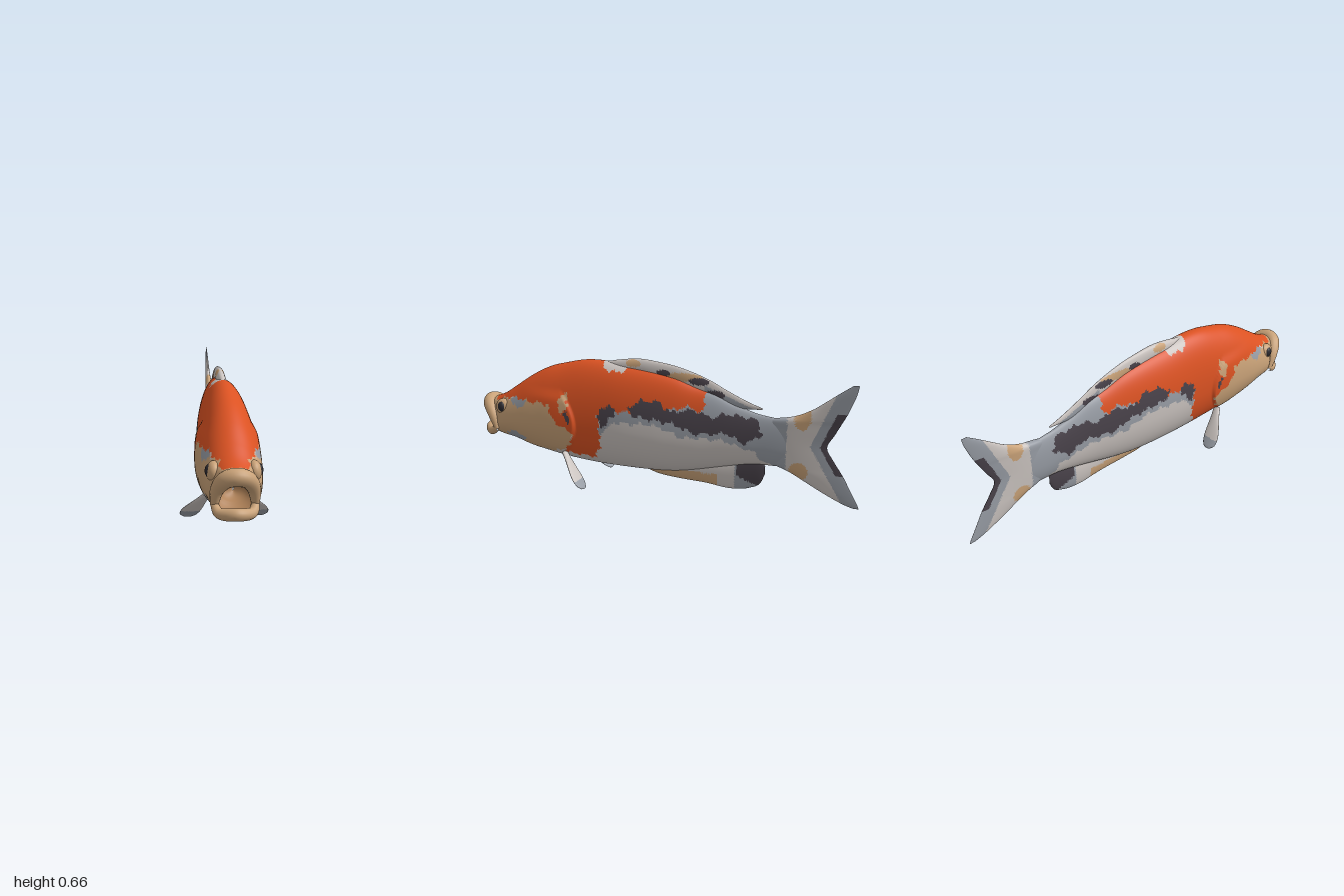
import * as THREE from 'three';

const palette = { white: 0xc9c2be, orange: 0xdb5222, tan: 0xc9a278, grey: 0x979ca4, dark: 0x49424a, mouth: 0xb08258, pupil: 0x2c2a30 };
const names = Object.keys(palette);
const [WHITE, ORANGE, TAN, GREY, DARK, MOUTH, PUPIL] = names.keys();

// ---- colour pattern helpers, in side coordinates (z, y) ----
const oval = (z, y, cz, cy, rz, ry) => ((z - cz) / rz) ** 2 + ((y - cy) / ry) ** 2 < 1;
function inside(poly, z, y) {
  let hit = false;
  for (let i = 0, j = poly.length - 1; i < poly.length; j = i++) {
    const [az, ay] = poly[i], [bz, by] = poly[j];
    if ((ay > y) !== (by > y) && z < ((bz - az) * (y - ay)) / (by - ay) + az) hit = !hit;
  }
  return hit;
}
const orangePatch = [[1, 0.375], [0.88, 0.39], [0.8, 0.42], [0.55, 0.42], [0.53, 0.35], [0.46, 0.31], [0.41, 0.27], [0.48, 0.16],
  [0.31, 0.155], [0.27, 0.24], [0.28, 0.38], [0.23, 0.42], [0.1, 0.42], [-0.02, 0.44], [-0.1, 0.45], [-0.16, 0.47], [-0.25, 0.45], [-0.25, 0.7], [1, 0.7]];
const cheekPatch = [[1, 0.4], [0.55, 0.43], [0.52, 0.36], [0.46, 0.33], [0.4, 0.31], [0.44, 0.2], [0.55, 0.155], [0.7, 0.165], [0.84, 0.18], [1, 0.1]];
const darkBand = [[0.12, 0.44], [0.07, 0.48], [-0.02, 0.485], [-0.1, 0.44], [-0.2, 0.46], [-0.3, 0.425], [-0.36, 0.45], [-0.5, 0.435],
  [-0.54, 0.37], [-0.45, 0.31], [-0.36, 0.355], [-0.2, 0.34], [-0.1, 0.385], [0.1, 0.405]];
const darkSpot = [[0.28, 0.43], [0.2, 0.44], [0.19, 0.39], [0.27, 0.325]];
const greyBand = [[0.28, 0.42], [0.05, 0.5], [-0.24, 0.5], [-0.24, 0.6], [-0.66, 0.5], [-0.66, 0.2], [-0.58, 0.2], [-0.5, 0.27],
  [-0.35, 0.32], [-0.15, 0.32], [0, 0.37], [0.2, 0.36], [0.27, 0.29]];

function paintBody(p) {
  const z = p.z + 0.007 * Math.sin(p.y * 95) + 0.004 * Math.sin(p.y * 210);
  const y = p.y + 0.007 * Math.sin(p.z * 80) + 0.004 * Math.sin(p.z * 190);
  if (z < -0.64) return paintTail(p);
  if (oval(z, y, 0.22, 0.65, 0.075, 0.05)) return WHITE;
  if (oval(z, y, 0.74, 0.405, 0.05, 0.022) || oval(z, y, 0.77, 0.215, 0.06, 0.03)) return GREY;
  if (oval(z, y, 0.47, 0.43, 0.025, 0.045)) return TAN;
  if (oval(z, y, 0.445, 0.36, 0.012, 0.03)) return DARK;
  if (inside(darkBand, z, y) || inside(darkSpot, z, y)) return DARK;
  if (inside(orangePatch, z, y)) return ORANGE;
  if (inside(cheekPatch, z, y)) return TAN;
  return inside(greyBand, z, y) ? GREY : WHITE;
}
function paintTail({ y, z }) {
  if (oval(z, y, -0.72, 0.47, 0.04, 0.065) || oval(z, y, -0.71, 0.2, 0.045, 0.045)) return TAN;
  const edge = -0.835 - (y > 0.33 ? 0.42 : 0.6) * Math.abs(y - 0.33);
  if (z < edge + 0.03 && y > 0.2 && y < 0.5) return DARK;
  if (z < edge + 0.075 || z > -0.65) return GREY;
  return WHITE;
}
function paintDorsal({ y, z }) {
  if (oval(z, y, -0.03, 0.61, 0.035, 0.016) || oval(z, y, -0.21, 0.585, 0.05, 0.018) || oval(z, y, -0.29, 0.53, 0.05, 0.02)) return DARK;
  if (oval(z, y, 0.13, 0.645, 0.04, 0.018) || oval(z, y, -0.13, 0.6, 0.1, 0.02)) return TAN;
  return z < -0.24 && y < 0.57 + (z + 0.24) * 0.38 ? GREY : WHITE;
}
function paintAnal({ y, z }) {
  if (z < -0.41 && y > 0.1 + (z + 0.5) * 0.4) return DARK;
  if (z < -0.4) return GREY;
  return z > -0.31 && y < 0.125 ? TAN : WHITE;
}

// Loft of oval sections; each row is [along, low, high, half thickness].
function loft(rows, { rings = 60, sides = 28, waist = 0.5, matrix, bend, paint }) {
  const spline = new THREE.CubicInterpolant(rows.map(r => r[0]), rows.flatMap(r => r.slice(1)), 3, new Float32Array(3));
  const start = rows[0][0], end = rows.at(-1)[0], points = [], faces = names.map(() => []);
  for (let i = 0; i <= rings; i++) {
    const along = start + ((end - start) * i) / rings;
    const [low, high, half] = spline.evaluate(along);
    const centre = low + waist * (high - low);
    for (let j = 0; j < sides; j++) {
      const a = (j / sides) * Math.PI * 2, c = Math.cos(a);
      const p = new THREE.Vector3(Math.max(half, 0.001) * Math.sin(a), centre + c * (c > 0 ? high - centre : centre - low), along);
      if (matrix) p.applyMatrix4(matrix);
      if (bend) bend(p);
      points.push(p);
    }
  }
  const addFace = (a, b, c) => {
    const mid = points[a].clone().add(points[b]).add(points[c]).divideScalar(3);
    faces[paint(mid)].push(a, b, c);
  };
  for (let i = 0; i < rings; i++) for (let j = 0; j < sides; j++) {
    const a = i * sides + j, b = i * sides + ((j + 1) % sides);
    addFace(a, a + sides, b);
    addFace(b, a + sides, b + sides);
  }
  const geometry = new THREE.BufferGeometry().setFromPoints(points);
  geometry.setIndex(faces.flat());
  let offset = 0;
  faces.forEach((f, m) => { if (f.length) geometry.addGroup(offset, f.length, m); offset += f.length; });
  geometry.computeVertexNormals();
  return geometry;
}

// Tube that swells towards its middle
function lipGeometry(half, thin, swell) {
  const mirrored = half.slice(0, -1).reverse().map(([x, y, z]) => [-x, y, z]);
  const curve = new THREE.CatmullRomCurve3([...half, ...mirrored].map(p => new THREE.Vector3(...p)));
  const geometry = new THREE.TubeGeometry(curve, 48, 1, 16), pos = geometry.attributes.position, v = new THREE.Vector3();
  for (let k = 0; k < pos.count; k++) {
    const u = Math.floor(k / 17) / 48, c = curve.getPointAt(u);
    v.fromBufferAttribute(pos, k).sub(c).multiplyScalar(thin + swell * Math.sin(Math.PI * u)).add(c);
    pos.setXYZ(k, v.x, v.y, v.z);
  }
  return geometry;
}

export function createModel() {
  const fish = new THREE.Group();
  fish.name = 'fish';
  const materials = names.map(name => new THREE.MeshStandardMaterial({ color: palette[name], name }));
  materials[MOUTH].side = THREE.DoubleSide;
  const add = (name, geometry, material = materials) => {
    const mesh = new THREE.Mesh(geometry, material);
    mesh.name = name;
    fish.add(mesh);
    return mesh;
  };

  // Mouth corners sit further back than the lips
  const mouthBend = p => {
    if (p.z > 0.85) p.z -= (p.z - 0.85) * 0.6 * Math.max(0, 1 - ((p.y - 0.28) / 0.1) ** 2);
  };
  // Raised gill cover with a sharp rear edge
  const bodyBend = p => {
    const edge = 0.4 + 3 * (p.y - 0.32) ** 2, s = THREE.MathUtils.smoothstep;
    const lift = s(p.z, edge, edge + 0.014) * (1 - s(p.z, 0.5, 0.75)) * s(p.y, 0.14, 0.19) * (1 - s(p.y, 0.44, 0.5));
    p.x += Math.sign(p.x) * 0.012 * lift;
    mouthBend(p);
  };
  add('body', loft([
    [-0.8, 0.3, 0.36, 0.003], [-0.72, 0.25, 0.41, 0.014], [-0.62, 0.212, 0.44, 0.026], [-0.5, 0.205, 0.457, 0.036],
    [-0.4, 0.185, 0.487, 0.047], [-0.3, 0.16, 0.53, 0.06], [-0.2, 0.135, 0.557, 0.076], [-0.1, 0.115, 0.59, 0.091],
    [0, 0.105, 0.61, 0.104], [0.15, 0.1, 0.627, 0.117], [0.3, 0.1, 0.64, 0.122], [0.4, 0.105, 0.635, 0.126],
    [0.5, 0.115, 0.612, 0.131], [0.6, 0.13, 0.582, 0.133], [0.7, 0.15, 0.53, 0.133], [0.8, 0.18, 0.462, 0.122],
    [0.87, 0.19, 0.415, 0.108], [0.94, 0.2, 0.385, 0.087],
  ], { rings: 300, sides: 120, waist: 0.42, bend: bodyBend, paint: paintBody }));

  // Mouth
  add('mouthCavity', loft([[0.8, 0.27, 0.31, 0.003], [0.82, 0.25, 0.33, 0.04], [0.88, 0.225, 0.355, 0.07], [0.94, 0.2, 0.385, 0.086]],
    { rings: 20, sides: 40, waist: 0.42, bend: mouthBend, paint: () => MOUTH }));
  add('upperLip', lipGeometry([[-0.083, 0.235, 0.885], [-0.072, 0.31, 0.915], [-0.04, 0.357, 0.95], [0, 0.368, 0.962]], 0.016, 0.021), materials[TAN]);
  add('lowerLip', lipGeometry([[-0.083, 0.24, 0.885], [-0.066, 0.215, 0.93], [0, 0.22, 0.972]], 0.016, 0.01), materials[TAN]);

  // Fins along the middle
  add('dorsalFin', loft([
    [-0.525, 0.478, 0.485, 0.003], [-0.45, 0.473, 0.51, 0.008], [-0.35, 0.465, 0.553, 0.012], [-0.25, 0.5, 0.6, 0.014],
    [-0.1, 0.55, 0.645, 0.017], [0, 0.56, 0.66, 0.02], [0.1, 0.58, 0.667, 0.022], [0.2, 0.58, 0.655, 0.022], [0.29, 0.6, 0.636, 0.012],
  ], { rings: 120, paint: paintDorsal }));
  add('analFin', loft([
    [-0.548, 0.16, 0.2, 0.004], [-0.53, 0.115, 0.22, 0.008], [-0.48, 0.08, 0.23, 0.012], [-0.38, 0.06, 0.2, 0.015],
    [-0.25, 0.07, 0.19, 0.016], [-0.1, 0.075, 0.17, 0.02], [0, 0.085, 0.15, 0.025], [0.06, 0.1, 0.13, 0.01],
  ], { rings: 100, paint: paintAnal }));

  // Forked tail, lofted upwards; rows are [y, -front z, -back z, half thickness]
  const upright = new THREE.Matrix4().makeBasis(new THREE.Vector3(1, 0, 0), new THREE.Vector3(0, 0, -1), new THREE.Vector3(0, 1, 0));
  add('tailFin', loft([
    [0.05, 0.97, 1, 0.006], [0.06, 0.935, 0.997, 0.014], [0.1, 0.84, 0.975, 0.022], [0.15, 0.74, 0.947, 0.026], [0.19, 0.66, 0.925, 0.028],
    [0.22, 0.58, 0.905, 0.028], [0.27, 0.55, 0.87, 0.028], [0.33, 0.55, 0.837, 0.028], [0.4, 0.55, 0.87, 0.028], [0.44, 0.57, 0.89, 0.028],
    [0.46, 0.66, 0.9, 0.028], [0.5, 0.75, 0.92, 0.026], [0.55, 0.82, 0.94, 0.024], [0.6, 0.885, 0.957, 0.02], [0.64, 0.94, 0.965, 0.008],
  ], { rings: 130, sides: 90, matrix: upright, paint: paintTail,
    bend: p => { p.x *= THREE.MathUtils.clamp((p.z + 1.03) / 0.45, 0.12, 1); } }));

  for (const side of [1, -1]) {
    const label = side > 0 ? 'left' : 'right';
    // Paddle-shaped pectoral fin sweeping down, out and back
    const root = new THREE.Vector3(0.095 * side, 0.145, 0.475);
    const out = new THREE.Vector3(0.088 * side, -0.135, -0.135).normalize();
    const across = new THREE.Vector3(1, 0, 0).addScaledVector(out, -out.x).normalize();
    const frame = new THREE.Matrix4().makeBasis(across.clone().cross(out), across, out).setPosition(root);
    add(label + 'PectoralFin', loft([
      [-0.02, -0.018, 0.018, 0.012], [0.03, -0.024, 0.024, 0.011], [0.08, -0.034, 0.034, 0.009], [0.14, -0.043, 0.043, 0.007],
      [0.18, -0.038, 0.038, 0.005], [0.2, -0.024, 0.024, 0.004], [0.208, -0.006, 0.006, 0.002],
    ], { matrix: frame, paint: p => (p.y < 0.05 ? GREY : WHITE) }));

    // Eye in its socket
    const ball = new THREE.SphereGeometry(1, 24, 16);
    const lid = add(label + 'Eyelid', ball, materials[TAN]);
    lid.position.set(0.082 * side, 0.36, 0.84);
    lid.scale.set(0.03, 0.045, 0.045);
    const eye = add(label + 'Eye', ball, materials[PUPIL]);
    eye.position.set(0.098 * side, 0.365, 0.842);
    eye.scale.set(0.02, 0.028, 0.023);
  }
  return fish;
}
